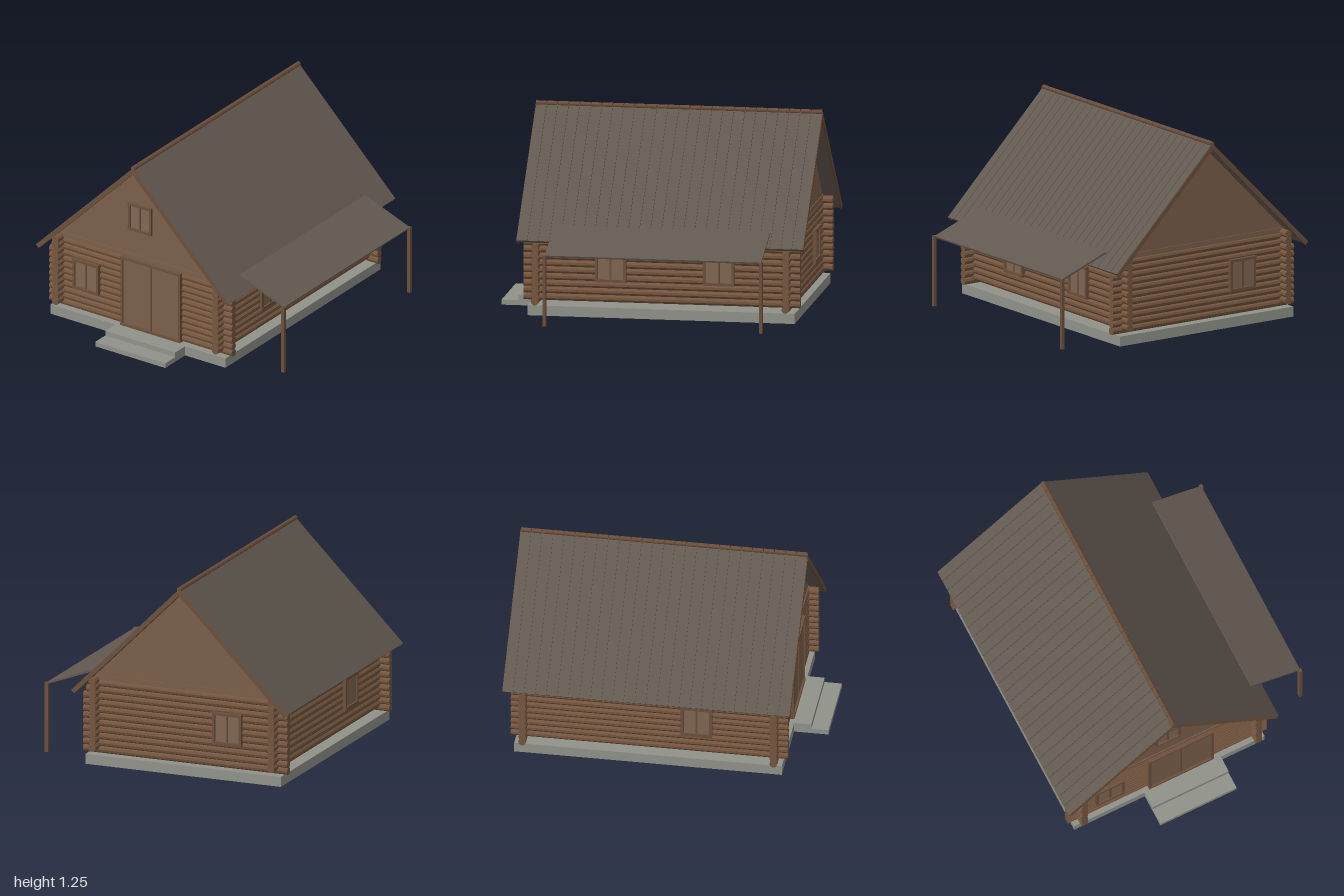
import * as THREE from 'three';

const MID_X = -0.135, MID_Z = -0.075;          // centre of the house
const HALF_X = 0.617, HALF_Z = 0.805;          // wall centrelines
const LOG_R = 0.0245, PITCH = 0.0435, ROWS = 11;
const APEX = 1.24;

export function createModel() {
  const model = new THREE.Group();
  const mat = (name, color, flatShading = false) => {
    const m = new THREE.MeshStandardMaterial({ color, flatShading });
    m.name = name;
    return m;
  };
  const log = mat('log wood', 0x75563f, true);
  const plank = mat('plank wood', 0x7b5f4b);
  const trim = mat('trim wood', 0x6c503c);
  const pane = mat('pane', 0x806652);
  const roofing = mat('roofing', 0x625950);
  const stone = mat('concrete', 0x90928a);

  const add = (name, geo, material, parent = model) => {
    const mesh = new THREE.Mesh(geo, material);
    mesh.name = name;
    parent.add(mesh);
    return mesh;
  };
  // Box given by its minimum and maximum corners
  const box = (name, material, a, b, parent = model) => {
    const mesh = add(name, new THREE.BoxGeometry(b[0] - a[0], b[1] - a[1], b[2] - a[2]), material, parent);
    mesh.position.set((a[0] + b[0]) / 2, (a[1] + b[1]) / 2, (a[2] + b[2]) / 2);
    return mesh;
  };

  // Foundation and entrance steps
  box('foundation', stone, [-0.81, 0, -0.935], [0.54, 0.065, 0.78]);
  box('upperStep', stone, [-0.31, 0, 0.78], [0.23, 0.065, 0.89]);
  box('lowerStep', stone, [-0.31, 0, 0.89], [0.23, 0.032, 1.0]);

  // Log walls: side rows sit half a log higher so the corners interlock
  const walls = new THREE.Group();
  walls.name = 'logWalls';
  model.add(walls);
  for (let i = 0; i < ROWS; i++) {
    for (const s of [-1, 1]) {
      const y = 0.094 + i * PITCH;
      const half = Math.min(0.705, APEX - 0.045 - LOG_R - y);   // top logs stop under the roof
      const across = add('endWallLog', new THREE.CylinderGeometry(LOG_R, LOG_R, half * 2, 10), log, walls);
      across.rotation.z = Math.PI / 2;
      across.position.set(MID_X, y, MID_Z + s * HALF_Z);
      const along = add('sideWallLog', new THREE.CylinderGeometry(LOG_R, LOG_R, 1.775, 10), log, walls);
      along.rotation.x = Math.PI / 2;
      along.position.set(MID_X + s * HALF_X, y + PITCH / 2, MID_Z);
    }
  }

  // Gables with a tie plank at their foot
  const gableShape = new THREE.Shape([
    new THREE.Vector2(-0.63, 0.575), new THREE.Vector2(0.63, 0.575), new THREE.Vector2(0, 1.205),
  ]);
  for (const s of [-1, 1]) {
    const gable = add('gable', new THREE.ExtrudeGeometry(gableShape, { depth: 0.03, bevelEnabled: false }), plank);
    gable.position.set(MID_X, 0, MID_Z + s * HALF_Z - 0.015);
    const z = MID_Z + s * HALF_Z;
    box('tiePlank', plank, [MID_X - 0.63, 0.55, z - 0.02], [MID_X + 0.63, 0.583, z + 0.02]);
  }

  // Roof slopes: narrow boards over a thin deck, barge boards at both ends
  const roofLen = 1.84, slopeLen = 1.054, boards = 26;
  const step = roofLen / boards;
  for (const s of [-1, 1]) {
    const slope = new THREE.Group();
    slope.name = s > 0 ? 'leftRoofSlope' : 'rightRoofSlope';
    slope.position.set(MID_X, APEX, -0.08);
    slope.rotation.z = -s * Math.PI / 4;
    model.add(slope);
    const span = (d, material, name, y0, y1, z0, z1) =>
      box(name, material, [s > 0 ? 0 : -d, y0, z0], [s > 0 ? d : 0, y1, z1], slope);
    span(slopeLen - 0.004, roofing, 'roofDeck', -0.026, -0.008, -0.915, 0.915);
    for (let i = 0; i < boards; i++) {
      const z = -roofLen / 2 + i * step;
      span(slopeLen, roofing, 'roofBoard', -0.01, 0, z + 0.002, z + step - 0.002);
    }
    for (const e of [-1, 1]) {
      const z = e * 0.914;
      span(slopeLen, trim, 'bargeBoard', -0.03, -0.003, z - 0.007, z + 0.007);
    }
  }

  // Ridge cap in short pieces
  for (let i = 0; i < boards; i++) {
    const cap = add('ridgeCap', new THREE.CylinderGeometry(0.016, 0.016, step - 0.004, 6), trim);
    cap.rotation.x = Math.PI / 2;
    cap.position.set(MID_X, 1.237, -1 + (i + 0.5) * step);
  }

  // Framed opening with a middle bar, facing +z about its own origin
  const framed = (name, w, h, bar, fill) => {
    const g = new THREE.Group();
    g.name = name;
    model.add(g);
    const x = w / 2, y = h / 2;
    box('panel', fill, [-x + bar / 2, -y + bar / 2, -0.03], [x - bar / 2, y - bar / 2, 0.008], g);
    for (const s of [-1, 1]) {
      box('jamb', trim, [s * (x - bar / 2) - bar / 2, -y, -0.03], [s * (x - bar / 2) + bar / 2, y, 0.018], g);
      box('rail', trim, [-x, s * (y - bar / 2) - bar / 2, -0.03], [x, s * (y - bar / 2) + bar / 2, 0.021], g);
    }
    box('mullion', trim, [-0.006, -y + bar, -0.03], [0.006, y - bar, 0.014], g);
    return g;
  };
  const place = (g, x, y, z, turn = 0) => {
    g.position.set(x, y, z);
    g.rotation.y = turn;
  };
  const front = MID_Z + HALF_Z + LOG_R, back = MID_Z - HALF_Z - LOG_R;
  const left = MID_X + HALF_X + LOG_R, right = MID_X - HALF_X - LOG_R;
  const windowUnit = (name) => framed(name, 0.2, 0.21, 0.018, pane);
  place(framed('doubleDoor', 0.46, 0.485, 0.017, plank), -0.045, 0.313, front);
  place(windowUnit('frontWindow'), -0.547, 0.33, front);
  place(windowUnit('backWindow'), -0.43, 0.33, back, Math.PI);
  place(windowUnit('leftFrontWindow'), left, 0.33, 0.25, Math.PI / 2);
  place(windowUnit('leftBackWindow'), left, 0.33, -0.445, Math.PI / 2);
  place(windowUnit('rightWindow'), right, 0.33, 0.23, -Math.PI / 2);
  place(framed('gableWindow', 0.18, 0.19, 0.017, pane), MID_X, 0.85, MID_Z + HALF_Z + 0.015);

  // Lean-to canopy on two posts
  const canopy = add('canopy', new THREE.BoxGeometry(0.369, 0.012, 1.388), roofing);
  canopy.position.set(0.703, 0.516, -0.083);
  canopy.rotation.z = -Math.atan2(0.13, 0.345);
  for (const z of [0.615, -0.775]) {
    box('canopyPost', trim, [0.864, 0, z - 0.011], [0.886, 0.458, z + 0.011]);
  }
  return model;
}
